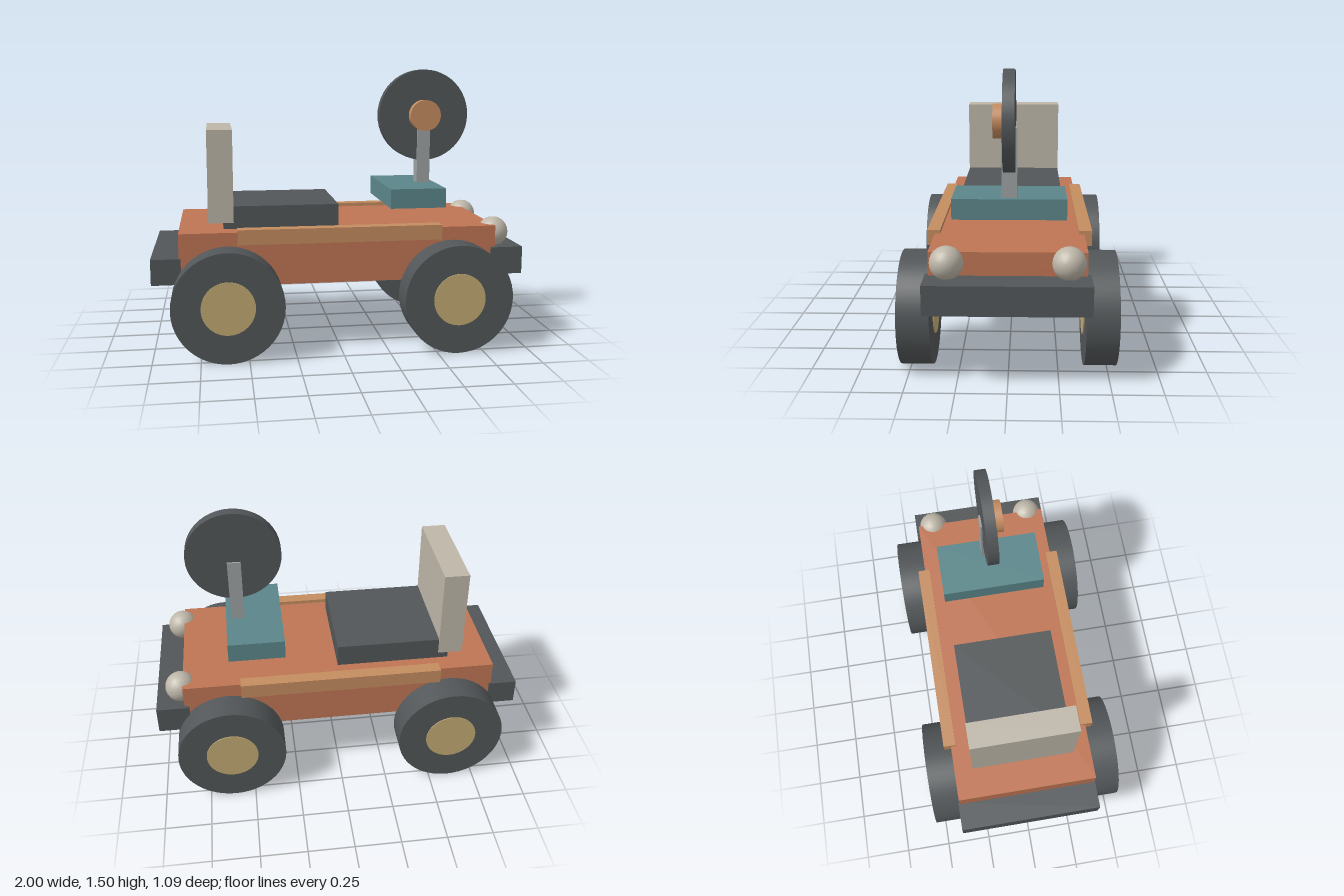
import * as THREE from 'three';

const paint = (name, color) => {
  const m = new THREE.MeshStandardMaterial({ color });
  m.name = name;
  return m;
};

export function createModel() {
  const car = new THREE.Group();
  car.name = 'buggy';

  const terracotta = paint('terracotta', 0xbf7554);
  const charcoal = paint('charcoal', 0x525658);
  const copper = paint('copper', 0xc48c60);
  const brass = paint('brass', 0xc2aa74);
  const beige = paint('beige', 0xbdb6a8);
  const teal = paint('teal', 0x5b868a);
  const grey = paint('grey', 0x9ca1a2);

  const add = (name, geometry, material, x, y, z) => {
    const mesh = new THREE.Mesh(geometry, material);
    mesh.name = name;
    mesh.position.set(x, y, z);
    car.add(mesh);
    return mesh;
  };
  // Box given by its lower and upper limits on each axis
  const box = (name, material, [x0, x1], [y0, y1], [z0, z1]) =>
    add(name, new THREE.BoxGeometry(x1 - x0, y1 - y0, z1 - z0), material,
      (x0 + x1) / 2, (y0 + y1) / 2, (z0 + z1) / 2);
  // Disc whose axis runs along z
  const disc = (name, material, radius, x, y, [z0, z1]) =>
    add(name, new THREE.CylinderGeometry(radius, radius, z1 - z0, 48).rotateX(Math.PI / 2),
      material, x, y, (z0 + z1) / 2);

  // Body and bumpers
  box('body', terracotta, [-0.855, 0.85], [0.375, 0.66], [-0.384, 0.384]);
  box('frontBumper', charcoal, [0.825, 1], [0.393, 0.542], [-0.402, 0.402]);
  box('rearBumper', charcoal, [-1, -0.845], [0.393, 0.53], [-0.392, 0.392]);

  // Seat
  box('seatCushion', charcoal, [-0.62, 0], [0.655, 0.782], [-0.28, 0.28]);
  box('seatBack', beige, [-0.7, -0.565], [0.693, 1.188], [-0.282, 0.282]);

  // Dashboard and steering
  box('dashboard', teal, [0.287, 0.595], [0.75, 0.857], [-0.292, 0.292]);
  box('steeringColumn', grey, [0.492, 0.566], [0.85, 1.213], [-0.04, 0.04]);
  disc('steeringWheel', charcoal, 0.257, 0.529, 1.243, [-0.03, 0.03]);
  disc('steeringHub', copper, 0.087, 0.529, 1.243, [0.025, 0.082]);

  // Parts mirrored on both sides
  for (const [side, s] of [['left', 1], ['right', -1]]) {
    const span = (a, b) => (s > 0 ? [a, b] : [-b, -a]);
    const ends = side === 'left' ? 'sideA' : 'sideB';
    box(`${ends}Rail`, copper, [-0.55, 0.54], [0.6, 0.68], span(0.356, 0.424));
    add(`${ends}Headlight`, new THREE.IcosahedronGeometry(0.083, 3), beige, 0.865, 0.611, s * 0.294);
    for (const [end, x] of [['front', 0.611], ['rear', -0.606]]) {
      disc(`${end}Tyre`, charcoal, 0.293, x, 0.295, span(0.379, 0.541));
      disc(`${end}Hubcap`, brass, 0.14, x, 0.297, span(0.373, 0.546));
    }
  }

  return car;
}
